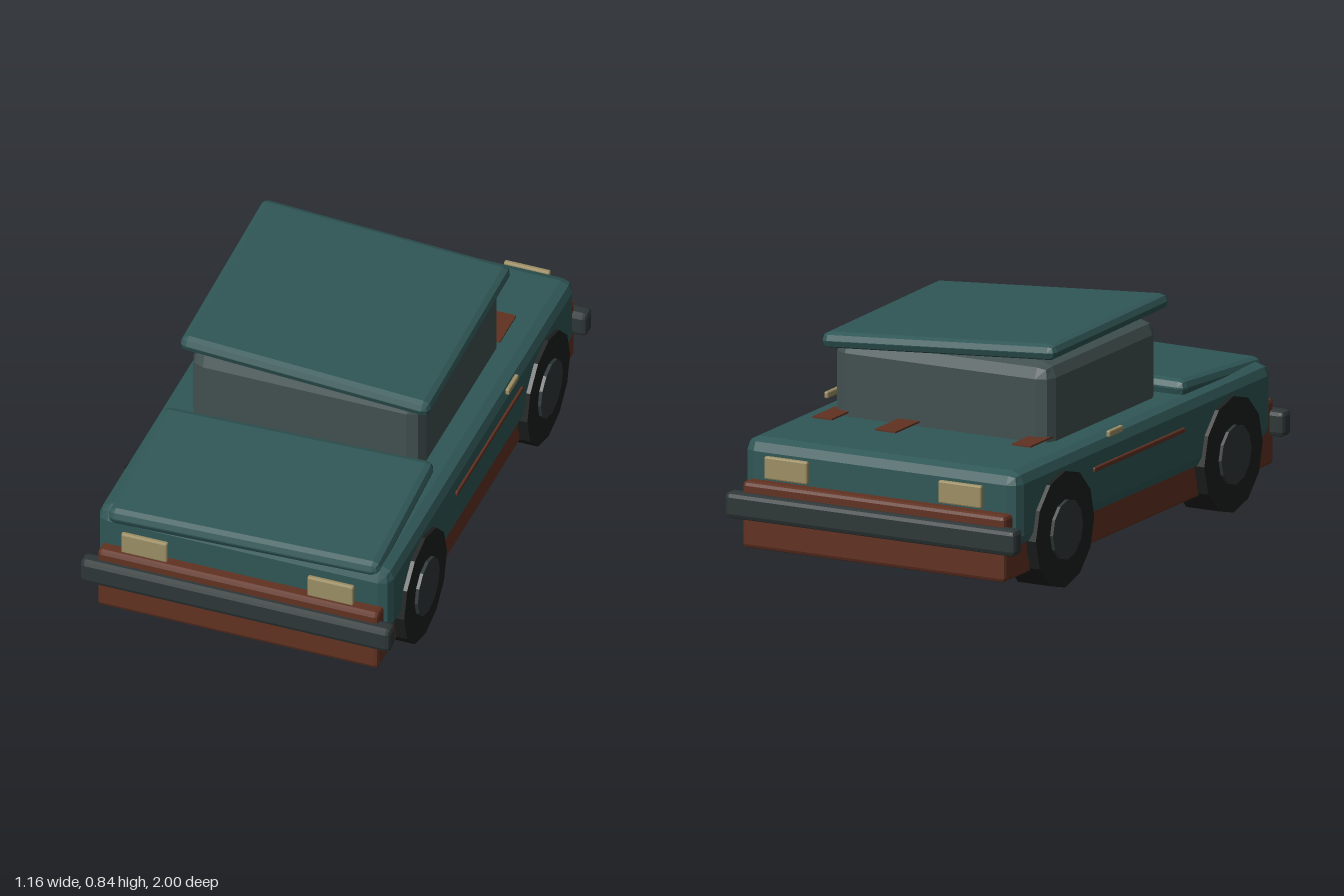
import * as THREE from 'three';
import { RoundedBoxGeometry } from 'three/addons/geometries/RoundedBoxGeometry.js';

const paint = (color) => new THREE.MeshStandardMaterial({ color, flatShading: true });

export function createModel() {
  const car = new THREE.Group();
  car.name = 'car';
  const teal = paint(0x305656), rust = paint(0x613222), glass = paint(0x41504f);
  const rubber = paint(0x1c1f1e), steel = paint(0x2e3637), brass = paint(0x9c8e64);

  // Box with chamfered edges, given by size, centre and bevel
  function block(name, material, size, centre, bevel) {
    const geometry = bevel
      ? new RoundedBoxGeometry(...size, 1, bevel)
      : new THREE.BoxGeometry(...size);
    const mesh = new THREE.Mesh(geometry, material);
    mesh.name = name;
    mesh.position.set(...centre);
    car.add(mesh);
    return mesh;
  }

  // Main shell
  block('chassis', rust, [1.05, 0.24, 1.94], [0, 0.21, 0], 0.015);
  block('body', teal, [1.1, 0.275, 1.84], [0, 0.3375, 0], 0.045);
  block('cabin', glass, [0.87, 0.36, 0.8], [0, 0.577, -0.09], 0.055);

  // Loose panels sitting askew
  const roof = block('roof', teal, [0.93, 0.058, 0.87], [0, 0.779, -0.092], 0.028);
  roof.rotation.set(0, 0.018, -0.068);
  const hood = block('hood', teal, [1.01, 0.062, 0.6], [-0.005, 0.482, 0.625], 0.028);
  hood.rotation.set(0.075, 0.02, 0.012);

  // Bumpers and lamps at both ends
  for (const end of [1, -1]) {
    const place = end > 0 ? 'front' : 'rear';
    block(place + 'Bumper', steel, [1.16, 0.095, 0.066], [0, 0.243, end * 0.967], 0.018);
    for (const side of [1, -1]) {
      block(place + 'Lamp', brass, [0.172, 0.082, 0.02], [side * 0.348, 0.39, end * 0.965], 0.006);
    }
  }

  // Wheels: twelve-sided tyre with a hub showing outside
  const tyreGeometry = new THREE.CylinderGeometry(0.21, 0.21, 0.13, 12).rotateZ(Math.PI / 2);
  const hubGeometry = new THREE.CylinderGeometry(0.108, 0.108, 0.14, 12).rotateZ(Math.PI / 2);
  for (const side of [1, -1]) {
    for (const end of [1, -1]) {
      const wheel = new THREE.Group();
      wheel.name = end > 0 ? 'frontWheel' : 'rearWheel';
      const tyre = new THREE.Mesh(tyreGeometry, rubber);
      tyre.name = 'tyre';
      const hub = new THREE.Mesh(hubGeometry, steel);
      hub.name = 'hub';
      hub.position.x = side * 0.007;
      wheel.add(tyre, hub);
      wheel.position.set(side * 0.5, 0.21, end * 0.605);
      car.add(wheel);
    }

    // Side trim and door handle
    block('sideTrim', rust, [0.016, 0.018, 0.65], [side * 0.55, 0.371, -0.053], 0.004);
    block('doorHandle', brass, [0.016, 0.024, 0.098], [side * 0.564, 0.484, -0.247], 0.005);
  }

  // Rust patches behind the cabin: x, width, rear edge
  for (const [x, width, rear] of [[-0.392, 0.075, -0.61], [0.123, 0.083, -0.66], [0.403, 0.077, -0.61]]) {
    const length = rear + 0.45;
    block('rustPatch', rust, [width, 0.006, -length], [x, 0.491, (rear - 0.45) / 2]);
  }
  return car;
}
